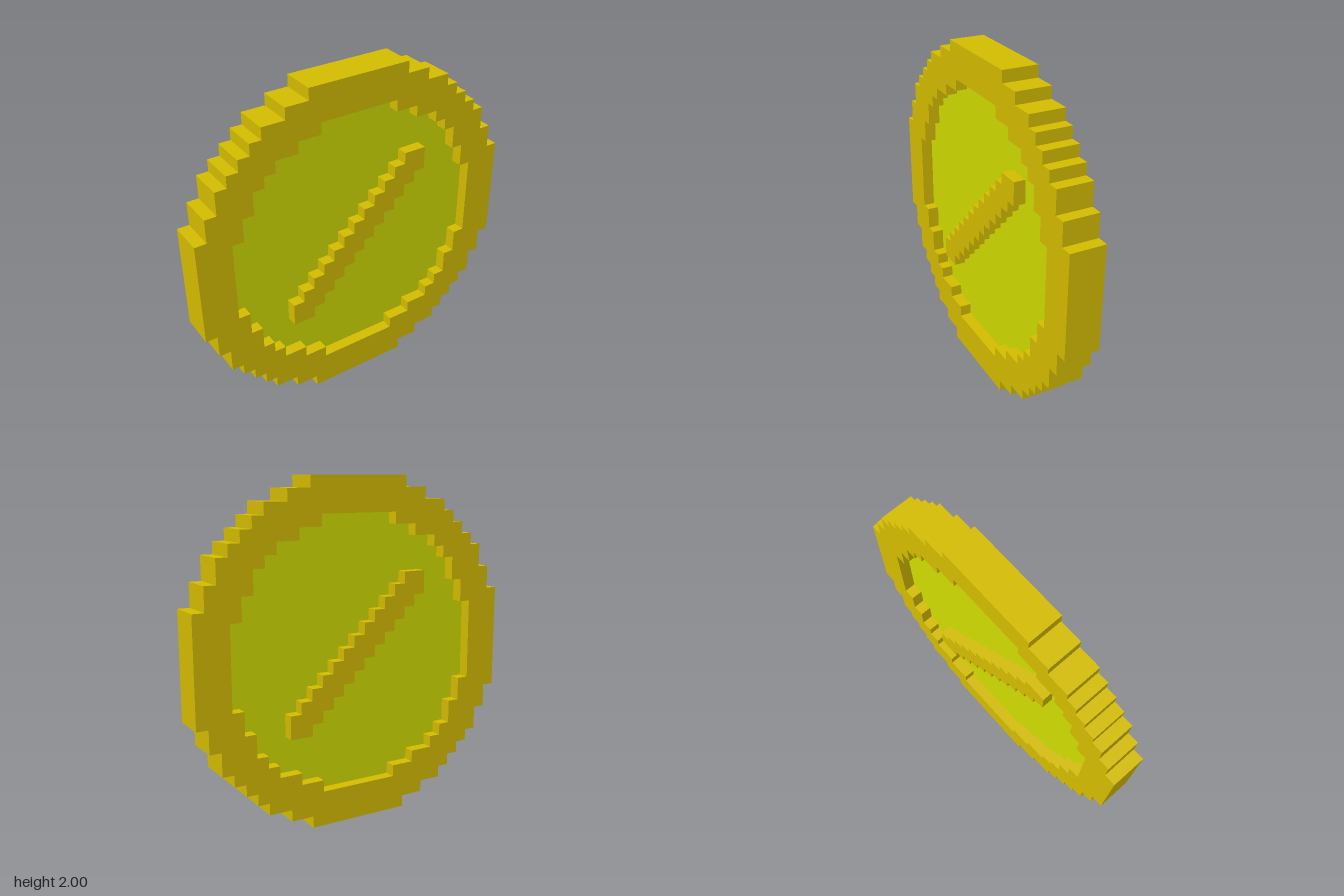
import * as THREE from 'three';

const U = 2 / 29; // one voxel

// Stepped round outline (clockwise) from one quadrant's [half-width, half-height] steps, top to side
function steppedLoop(steps) {
  const quadrant = [];
  steps.forEach(([x, y], i) => {
    if (i > 0) quadrant.push([steps[i - 1][0], y]);
    quadrant.push([x, y]);
  });
  const flip = (sx, sy) => quadrant.map(([x, y]) => new THREE.Vector2(x * sx * U, y * sy * U));
  return [
    ...flip(1, 1),
    ...flip(1, -1).reverse(),
    ...flip(-1, -1),
    ...flip(-1, 1).reverse(),
  ];
}

// Staircase outline of the diagonal bar: each row is three voxels wide, clipped at the ends
function barLoop() {
  const left = [], right = [];
  for (let c = -6; c <= 6; c++) {
    const x0 = Math.max(c - 1.5, -6.5), x1 = Math.min(c + 1.5, 6.5);
    for (const y of [c - 0.5, c + 0.5]) {
      left.push(new THREE.Vector2(x0 * U, y * U));
      right.push(new THREE.Vector2(x1 * U, y * U));
    }
  }
  const loop = [...right, ...left.reverse()];
  return loop.filter((p, i) => !p.equals(loop[(i + 1) % loop.length]));
}

function slab(name, shape, z, depth, material) {
  const geometry = new THREE.ExtrudeGeometry(shape, { depth: depth * U, bevelEnabled: false });
  geometry.translate(0, 0, z * U);
  const mesh = new THREE.Mesh(geometry, material);
  mesh.name = name;
  return mesh;
}

export function createModel() {
  const gold = new THREE.MeshStandardMaterial({ color: 0xd6be00 });
  const yellow = new THREE.MeshStandardMaterial({ color: 0xd2de00 });

  const outer = steppedLoop([
    [4.5, 14.5], [6.5, 13.5], [8.5, 12.5], [9.5, 11.5], [10.5, 10.5],
    [11.5, 9.5], [12.5, 8.5], [13.5, 6.5], [14.5, 4.5],
  ]);
  const inner = steppedLoop([
    [3.5, 11.5], [5.5, 10.5], [7.5, 9.5], [8.5, 8.5], [9.5, 7.5], [10.5, 5.5], [11.5, 3.5],
  ]);

  const coin = new THREE.Group();
  coin.name = 'coin';

  // Raised rim, three voxels thick; the hole runs opposite to the outline so its walls face inward
  const rimShape = new THREE.Shape(outer);
  rimShape.holes.push(new THREE.Path([...inner].reverse()));
  coin.add(slab('rim', rimShape, -1.5, 3, gold));

  // Recessed disc, one voxel thick
  coin.add(slab('disc', new THREE.Shape(inner), -0.5, 1, yellow));

  // Diagonal bar on each face, the back one turned half around
  const barShape = new THREE.Shape(barLoop());
  coin.add(slab('frontBar', barShape, 0.5, 1, gold));
  const backBar = slab('backBar', barShape, 0.5, 1, gold);
  backBar.rotation.y = Math.PI;
  coin.add(backBar);

  // Stand on the ground
  coin.position.y = 1;
  const model = new THREE.Group();
  model.add(coin);
  return model;
}
